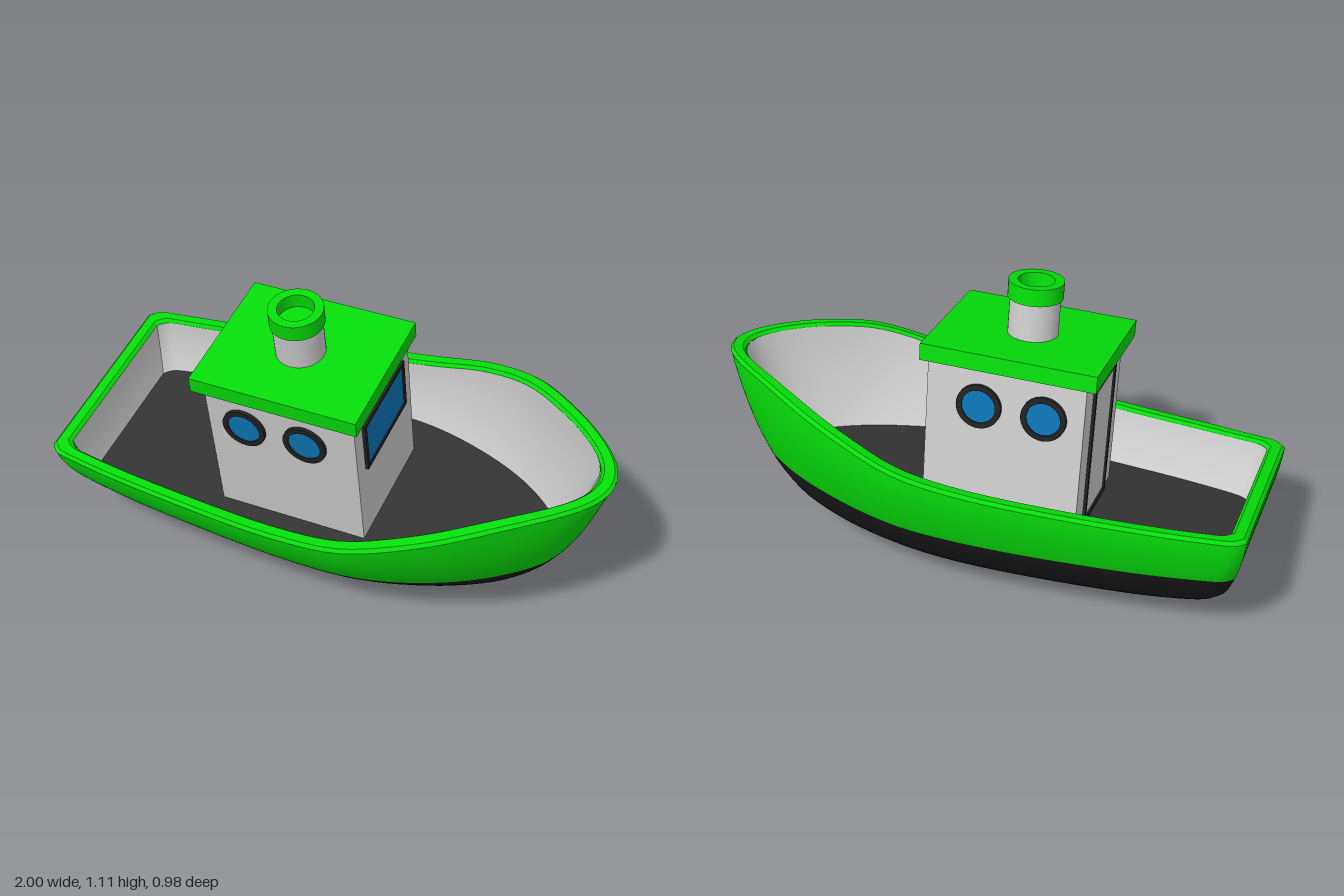
import * as THREE from 'three';
import { toCreasedNormals } from 'three/addons/utils/BufferGeometryUtils.js';

const paint = (color) => new THREE.MeshStandardMaterial({ color, roughness: 0.8, side: THREE.DoubleSide });
const GREEN = paint(0x06dc0a), BLACK = paint(0x1a1a1a), GREY = paint(0xcccccc);
const DECK = paint(0x333333), FRAME = paint(0x222222), GLASS = paint(0x0c74b4);

// Smooth interpolation through [x, value] pairs
function curve(pts) {
  const slope = (i) => {
    const a = pts[Math.max(0, i - 1)], b = pts[Math.min(pts.length - 1, i + 1)];
    return (b[1] - a[1]) / (b[0] - a[0]);
  };
  return (x) => {
    let i = 0;
    while (i < pts.length - 2 && x > pts[i + 1][0]) i++;
    const [x0, y0] = pts[i], [x1, y1] = pts[i + 1], h = x1 - x0, t = (x - x0) / h, s = 1 - t;
    return s * s * (1 + 2 * t) * y0 + t * t * (3 - 2 * t) * y1 + h * t * s * (s * slope(i) - t * slope(i + 1));
  };
}

// Hull lines, from stern (x = -1) to bow (x = 1)
const keelY = curve([[-1, 0.085], [-0.93, 0.055], [-0.8, 0.036], [-0.6, 0.018], [-0.2, 0], [0.1, 0], [0.4, 0.03],
  [0.6, 0.082], [0.7, 0.135], [0.8, 0.232], [0.9, 0.405], [1, 0.675]]);
const rimY = curve([[-1, 0.492], [-0.8, 0.488], [-0.4, 0.49], [0, 0.509], [0.2, 0.54], [0.4, 0.604], [0.6, 0.66],
  [0.7, 0.675], [0.8, 0.681], [0.9, 0.68], [1, 0.675]]);
const fullness = curve([[-1, 0.278], [-0.8, 0.315], [-0.4, 0.393], [0, 0.495], [0.2, 0.555], [0.4, 0.602],
  [0.6, 0.622], [0.8, 0.585], [0.9, 0.565], [1, 0.55]]);
const boundary = curve([[-1, 0.298], [-0.6, 0.276], [-0.2, 0.268], [0.2, 0.275], [0.6, 0.312], [0.85, 0.32], [1, 0.32]]);
const DECK_Y = 0.29;
const halfWidth = (x) =>
  fullness(x) * Math.sqrt(Math.max(0, 1 - x)) - 0.03 * Math.max(0, (-0.95 - x) / 0.05) ** 2;
const waterY = (x) => Math.max(keelY(x), boundary(x));
const topY = (x) => Math.max(keelY(x), rimY(x) - 0.012);
const deckY = (x) => Math.max(keelY(x), DECK_Y);

// Point on the hull skin at station x and height y; the stern is raked
function skin(x, y, side, kx = 1, kz = 1) {
  const k = keelY(x), r = rimY(x);
  const u = THREE.MathUtils.clamp((y - k) / Math.max(r - k, 1e-5), 0, 1);
  const z = halfWidth(x) * (1 - (1 - u) ** 1.5) ** 0.53;
  const aft = Math.max(0, (-x - 0.3) / 0.7) ** 2;
  const rake = 0.15 * Math.max(0, 1 - y / r) ** 1.7 * aft;
  return new THREE.Vector3((x + rake) * kx, y, side * z * kz);
}

// Stations, denser at both ends and where the stem meets the waterline and the deck
const N = 64;
const stations = Array.from({ length: N + 1 }, (_, i) => -Math.cos((Math.PI * i) / N));
for (const line of [boundary, () => DECK_Y]) {
  let a = 0.5, b = 1;
  for (let i = 0; i < 40; i++) {
    const m = (a + b) / 2;
    if (keelY(m) < line(m)) a = m;
    else b = m;
  }
  stations.push(a, a - 0.001, a - 0.004, a - 0.01);
}
stations.sort((a, b) => a - b);

// Closed ring round the hull: left side stern to bow, then right side back
const ring = (height, kx, kz) => [
  ...stations.map((x) => skin(x, height(x), 1, kx, kz)),
  ...[...stations].reverse().map((x) => skin(x, height(x), -1, kx, kz)),
];

// Surface through a list of rings, leaving out collapsed faces
function loft(rings, crease = 0.65) {
  const pos = [], n = rings[0].length;
  const tri = (...t) => {
    if (new THREE.Triangle(...t).getArea() > 1e-9) t.forEach((p) => pos.push(p.x, p.y, p.z));
  };
  for (let j = 0; j < rings.length - 1; j++) {
    for (let i = 0; i < n; i++) {
      const a = rings[j][i], b = rings[j][(i + 1) % n], c = rings[j + 1][(i + 1) % n], d = rings[j + 1][i];
      tri(a, b, c);
      tri(a, c, d);
    }
  }
  const g = new THREE.BufferGeometry();
  g.setAttribute('position', new THREE.Float32BufferAttribute(pos, 3));
  return toCreasedNormals(g, crease);
}

// Rings between two height lines; a higher power crowds them towards the low one
function band(low, high, rows, power, kx, kz) {
  return Array.from({ length: rows + 1 }, (_, j) => {
    const t = (j / rows) ** power;
    return ring((x) => low(x) + (high(x) - low(x)) * t, kx, kz);
  });
}

// Rectangular frame with an opening, extruded along +z
function frameGeometry(w, h, border, depth) {
  const rect = (P, a, b) =>
    new P([[-a, -b], [a, -b], [a, b], [-a, b]].map(([x, y]) => new THREE.Vector2(x, y)));
  const s = rect(THREE.Shape, w / 2, h / 2);
  s.holes.push(rect(THREE.Path, w / 2 - border, h / 2 - border));
  return new THREE.ExtrudeGeometry(s, { depth, bevelEnabled: false });
}

const lathe = (profile) => toCreasedNormals(
  new THREE.LatheGeometry(profile.map(([r, y]) => new THREE.Vector2(r, y)), 40), 0.5);

export function createModel() {
  const model = new THREE.Group();
  model.name = 'boat';
  // The whole boat heels to one side
  const boat = new THREE.Group();
  boat.name = 'heeledBoat';
  boat.position.set(0, 0.005, -0.088);
  boat.rotation.x = THREE.MathUtils.degToRad(10);
  model.add(boat);

  const add = (name, geometry, material, x = 0, y = 0, z = 0, parent = boat) => {
    const m = new THREE.Mesh(geometry, material);
    m.name = name;
    m.position.set(x, y, z);
    parent.add(m);
  };
  const box = (w, h, d) => new THREE.BoxGeometry(w, h, d);

  // Hull skin, bulwark lining and deck
  const IX = 0.942, IZ = 0.89;
  add('lowerHull', loft(band(keelY, waterY, 14, 2)), BLACK);
  add('upperHull', loft(band(waterY, topY, 12, 1.5)), GREEN);
  const lining = band(deckY, topY, 10, 1.5, IX, IZ).reverse();
  add('bulwarkLining', loft(lining), GREY);
  const deckEdge = lining[lining.length - 1];
  add('deck', loft([deckEdge, deckEdge.map((p) => new THREE.Vector3(p.x, p.y, 0))]), DECK);

  // Rim: small bevelled section carried round the top edge
  const rimRings = [[0, 0.012], [0.2, 0], [0.8, 0], [1, 0.012], [1, 0.03]].map(([t, drop]) =>
    ring(rimY, 1 + (IX - 1) * t, 1 + (IZ - 1) * t).map((p) => p.setY(p.y - drop)));
  add('rim', loft(rimRings, 0.4), GREEN);

  // Cabin and roof
  const cx = -0.115, halfX = 0.28, halfZ = 0.23;
  add('cabin', box(halfX * 2, 0.57, halfZ * 2), GREY, cx, 0.57, 0);
  add('roof', box(0.62, 0.061, 0.515), GREEN, -0.122, 0.8835, 0);

  // Portholes, two on each side
  const ringGeo = lathe([[0.06, 0], [0.08, 0], [0.08, 0.013], [0.06, 0.013], [0.06, 0]]);
  const paneGeo = new THREE.CylinderGeometry(0.062, 0.062, 0.008, 32);
  for (const side of [1, -1]) {
    for (const x of [-0.255, -0.025]) {
      const porthole = new THREE.Group();
      porthole.name = 'porthole';
      porthole.position.set(x, 0.713, side * halfZ);
      porthole.rotation.x = (side * Math.PI) / 2;
      add('portholeFrame', ringGeo, FRAME, 0, 0, 0, porthole);
      add('portholeGlass', paneGeo, GLASS, 0, 0.004, 0, porthole);
      boat.add(porthole);
    }
  }

  // Windscreen on the bow side
  const wind = new THREE.Group();
  wind.name = 'windscreen';
  wind.position.set(cx + halfX, 0.703, 0);
  wind.rotation.y = Math.PI / 2;
  add('windscreenFrame', frameGeometry(0.34, 0.21, 0.014, 0.012), FRAME, 0, 0, 0, wind);
  add('windscreenGlass', box(0.32, 0.19, 0.01), GLASS, 0, 0, 0.002, wind);
  boat.add(wind);

  // Door on the stern side
  const door = new THREE.Group();
  door.name = 'door';
  door.position.set(cx - halfX, 0.547, 0);
  door.rotation.y = -Math.PI / 2;
  add('doorFrame', frameGeometry(0.27, 0.52, 0.015, 0.01), FRAME, 0, 0, 0, door);
  add('doorPanel', box(0.21, 0.47, 0.01), GREY, 0, 0, 0.002, door);
  boat.add(door);

  // Funnel with a thicker, hollowed collar
  add('funnel', new THREE.CylinderGeometry(0.088, 0.088, 0.15, 40), GREY, -0.13, 0.975, 0);
  add('funnelCollar', lathe([[0, 1.047], [0.096, 1.047], [0.096, 1.108], [0.064, 1.108], [0.064, 1.055], [0, 1.055]]),
    GREEN, -0.13, 0, 0);

  return model;
}
